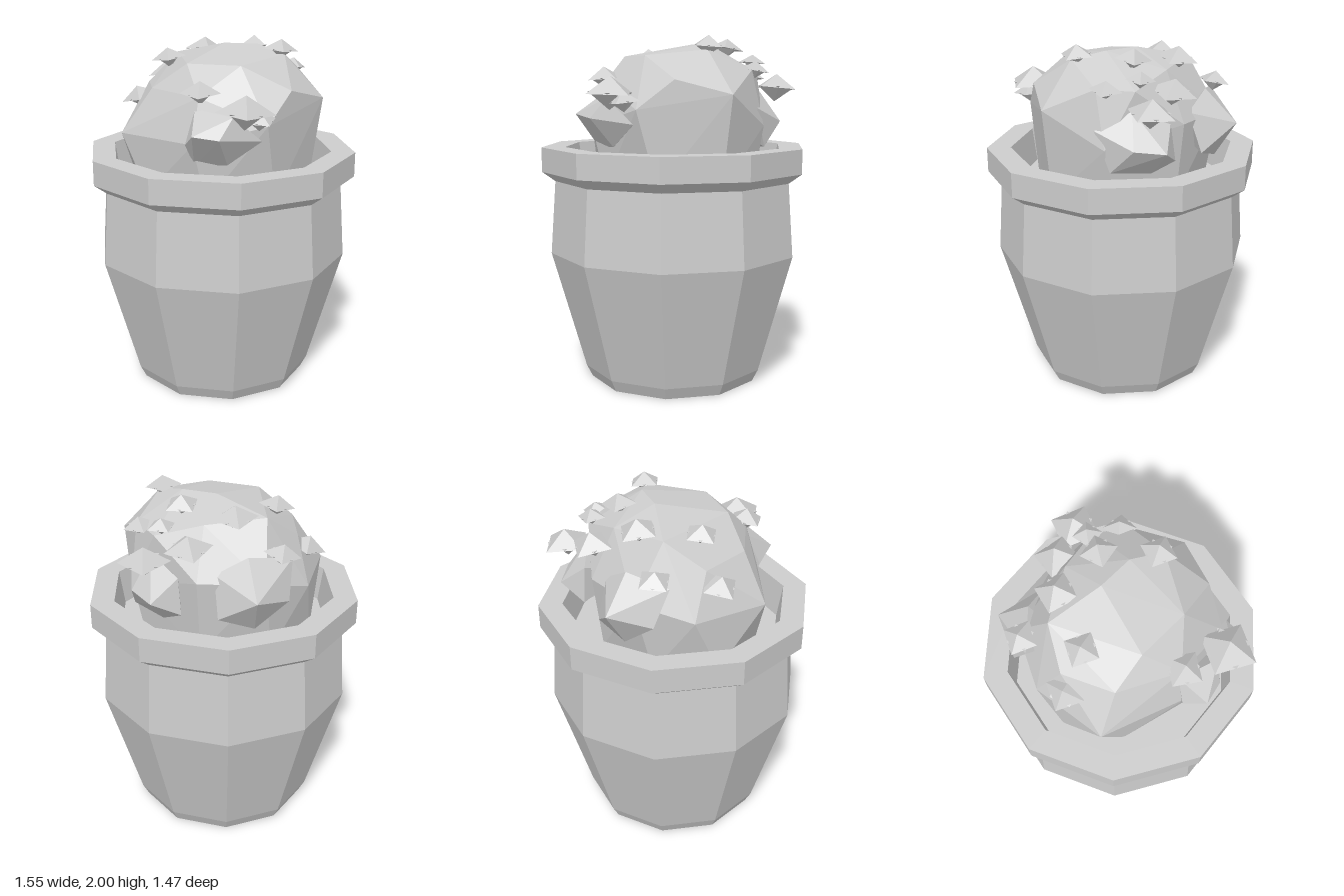
import * as THREE from 'three';
import { ConvexGeometry } from 'three/addons/geometries/ConvexGeometry.js';

const grey = new THREE.MeshStandardMaterial({ color: 0xcccccc, flatShading: true });
grey.name = 'plain grey';

function part(name, geometry, parent) {
  const mesh = new THREE.Mesh(geometry, grey);
  mesh.name = name;
  parent.add(mesh);
  return mesh;
}

const hull = (points) => new ConvexGeometry(points.map((p) => new THREE.Vector3(...p)));

// Star-shaped thorn: a flat pyramid on top, a smaller turned one beneath
function thorn(parent, [x, y, z, radius, turn, tiltX, tiltZ]) {
  const g = new THREE.Group();
  g.name = 'thorn';
  const height = radius * 0.6;
  const top = part('thornTop', new THREE.ConeGeometry(radius, height, 4), g);
  top.position.y = -height / 2;
  const root = part('thornRoot', new THREE.ConeGeometry(radius * 0.75, height, 4), g);
  root.rotation.set(Math.PI, Math.PI / 4, 0);
  root.position.y = -height * 1.4;
  g.position.set(x, y, z);
  g.rotation.set(tiltX, turn, tiltZ);
  parent.add(g);
}

export function createModel() {
  const model = new THREE.Group();
  model.name = 'pottedCactus';

  // Ten-sided pot with rim, inner wall and soil level
  const profile = [
    [0, 0], [0.5, 0], [0.535, 0.07], [0.73, 0.76], [0.7, 1.18],
    [0.775, 1.235], [0.775, 1.375], [0.64, 1.375], [0.61, 1.18], [0, 1.18],
  ].map((p) => new THREE.Vector2(...p));
  part('pot', new THREE.LatheGeometry(profile, 10, Math.PI / 10), model);

  // Faceted round body
  const cactus = new THREE.Group();
  cactus.name = 'cactus';
  model.add(cactus);
  const body = [
    [0.58, 1.68, -0.02], [0.43, 1.76, 0.25], [0.41, 1.81, -0.26], [0.36, 1.92, 0],
    [-0.14, 1.89, 0.25], [0.16, 1.89, 0.28], [0, 1.96, -0.12], [0.2, 1.96, -0.1],
    [-0.04, 1.74, 0.43], [0.33, 1.6, 0.43], [-0.34, 1.75, 0.24], [-0.51, 1.5, 0.28],
    [-0.06, 1.5, 0.5], [-0.43, 1.74, -0.04], [-0.3, 1.89, -0.22], [-0.52, 1.5, -0.15],
    [0, 1.87, -0.36], [0.26, 1.8, -0.4], [0, 1.6, -0.5], [0.42, 1.5, -0.34], [-0.35, 1.6, -0.42],
  ];
  for (let i = 0; i < 8; i++) {
    const a = (i / 8) * Math.PI * 2;
    body.push([0.51 * Math.cos(a), 1.17, 0.45 * Math.sin(a)]);
  }
  part('body', hull(body), cactus);

  // Side buds
  part('frontBud', hull([
    [-0.06, 1.68, 0.43], [-0.04, 1.57, 0.61], [0.1, 1.55, 0.59], [0.16, 1.66, 0.52], [0.3, 1.52, 0.43],
    [0.12, 1.39, 0.46], [-0.06, 1.38, 0.46], [-0.1, 1.5, 0.5], [0.1, 1.5, 0.3],
  ]), cactus);
  part('backRightBud', hull([
    [-0.34, 1.56, -0.57], [-0.08, 1.64, -0.45], [-0.25, 1.74, -0.41], [-0.45, 1.7, -0.26], [-0.46, 1.5, -0.36],
    [-0.3, 1.36, -0.45], [-0.12, 1.42, -0.52], [-0.2, 1.5, -0.2],
  ]), cactus);
  part('backLeftBud', hull([
    [0.1, 1.62, -0.5], [0.22, 1.5, -0.6], [0.36, 1.52, -0.5], [0.28, 1.7, -0.4], [0.44, 1.6, -0.28],
    [0.4, 1.38, -0.36], [0.2, 1.36, -0.46], [0.08, 1.42, -0.52], [0.2, 1.5, -0.2],
  ]), cactus);

  // Thorns: tip x, y, z, radius, turn, tilt x, tilt z
  [
    [0.34, 2.0, -0.02, 0.1, 0.3, 0, -0.1],
    [0.15, 1.99, -0.27, 0.1, 0.9, -0.15, 0],
    [-0.31, 1.94, 0.0, 0.1, 0.2, 0, 0.15],
    [-0.15, 1.97, -0.3, 0.12, 0.4, -0.15, 0],
    [-0.49, 1.72, 0.02, 0.11, 0.2, 0, 0.3],
    [-0.03, 1.83, 0.44, 0.11, 0.1, 0.1, 0],
    [0.23, 1.78, 0.53, 0.16, 0.2, 0, -0.05],
    [0.29, 1.7, 0.49, 0.1, 0.7, 0.1, 0],
    [0.38, 1.86, -0.31, 0.09, 0.6, -0.1, -0.1],
    [0.05, 1.85, -0.48, 0.13, 0.5, -0.2, 0],
    [0.27, 1.79, -0.54, 0.14, 0.3, -0.1, 0],
    [0.22, 1.9, -0.4, 0.08, 0.8, -0.1, 0],
    [-0.42, 1.8, -0.33, 0.1, 0.2, -0.1, 0.2],
  ].forEach((t) => thorn(cactus, t));

  return model;
}
